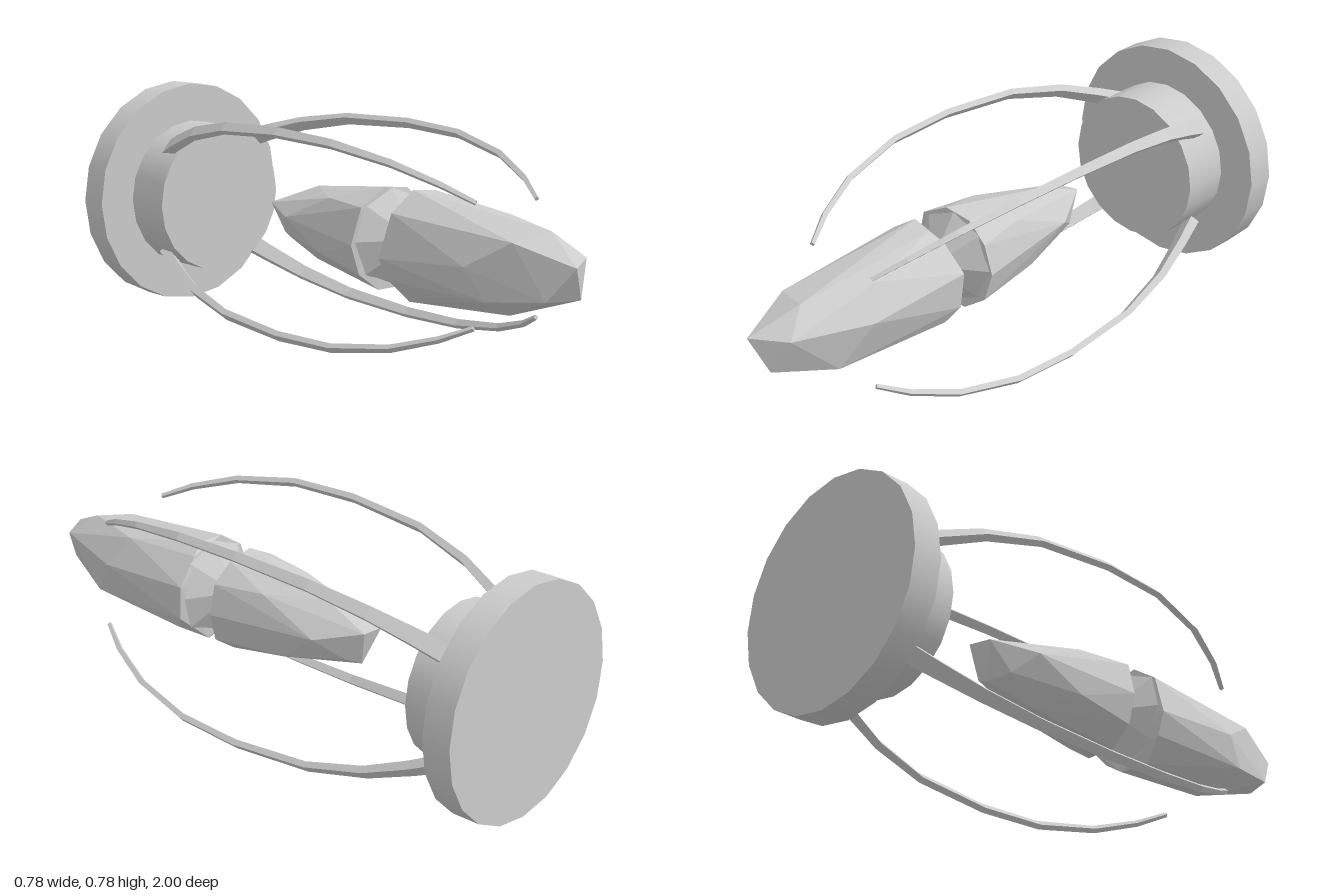
import * as THREE from 'three';
import { ConvexGeometry } from 'three/addons/geometries/ConvexGeometry.js';

const CY = 0.39; // height of the long axis

export function createModel() {
  const group = new THREE.Group();
  const smooth = new THREE.MeshStandardMaterial({ color: 0xcccccc });
  const flat = new THREE.MeshStandardMaterial({ color: 0xcccccc, flatShading: true });

  function add(name, geometry, material) {
    const mesh = new THREE.Mesh(geometry, material);
    mesh.name = name;
    group.add(mesh);
    return mesh;
  }

  // Round mounting: wide back plate and narrower hub
  function disc(name, radius, zBack, zFront) {
    const g = new THREE.CylinderGeometry(radius, radius, zFront - zBack, 20);
    g.rotateX(Math.PI / 2);
    g.translate(0, CY, (zBack + zFront) / 2);
    add(name, g, smooth);
  }
  disc('backPlate', 0.39, -1, -0.9);
  disc('hub', 0.257, -0.9, -0.73);

  // Faceted crystals
  function crystal(name, points) {
    add(name, new ConvexGeometry(points.map(p => new THREE.Vector3(...p))), flat);
  }
  crystal('frontCrystal', [
    [-0.04, 0.425, 1], [0.08, 0.43, 0.93], [0.02, 0.315, 0.965], [-0.085, 0.315, 0.92],
    [0.025, 0.503, 0.84], [-0.105, 0.48, 0.8], [-0.16, 0.39, 0.65], [-0.14, 0.29, 0.72],
    [-0.05, 0.238, 0.74], [0.1, 0.27, 0.76], [0.155, 0.41, 0.66], [0.1, 0.51, 0.6],
    [-0.035, 0.563, 0.3], [0.045, 0.555, 0.32], [0.095, 0.525, 0.3], [0.172, 0.44, 0.29],
    [0.165, 0.32, 0.3], [0.135, 0.27, 0.34], [0.03, 0.203, 0.3], [-0.07, 0.21, 0.32],
    [-0.14, 0.285, 0.3], [-0.175, 0.36, 0.29], [-0.13, 0.5, 0.3],
  ]);
  crystal('rearCrystal', [
    [-0.05, 0.43, -0.385], [0.04, 0.44, -0.39], [0.0, 0.31, -0.35], [0.06, 0.34, -0.33],
    [-0.06, 0.34, -0.3], [0.12, 0.4, -0.24], [-0.12, 0.41, -0.23], [0.02, 0.5, -0.22],
    [-0.03, 0.265, -0.17], [0.1, 0.29, -0.1], [-0.13, 0.32, -0.05], [0.11, 0.49, -0.02],
    [-0.1, 0.5, -0.03], [-0.03, 0.555, 0.165], [0.07, 0.54, 0.16], [0.14, 0.48, 0.165],
    [0.168, 0.38, 0.16], [0.14, 0.28, 0.165], [0.05, 0.218, 0.165], [-0.06, 0.22, 0.165],
    [-0.14, 0.28, 0.16], [-0.17, 0.38, 0.155], [-0.135, 0.5, 0.165],
  ]);

  // Pinched waist joining the crystals
  const waist = new THREE.LatheGeometry(
    [[0.16, 0.163], [0.05, 0.235], [0.165, 0.3]].map(p => new THREE.Vector2(...p)), 8);
  waist.rotateX(Math.PI / 2);
  waist.translate(0, CY, 0);
  add('crystalWaist', waist, new THREE.MeshStandardMaterial(
    { color: 0xcccccc, flatShading: true, side: THREE.DoubleSide }));

  // Curved claws: [z, outward bulge, width, thickness] from tip to root
  const sections = [
    [0.66, 0, 0.012, 0.012], [0.56, 0.33, 0.016, 0.016], [0.4, 0.69, 0.02, 0.018],
    [0.17, 0.95, 0.026, 0.019], [-0.08, 1, 0.03, 0.02], [-0.37, 0.89, 0.036, 0.021],
    [-0.58, 0.63, 0.043, 0.025], [-0.73, 0.32, 0.052, 0.03], [-0.83, 0.08, 0.06, 0.034],
  ];

  function clawGeometry(tip, apex, root) {
    const T = new THREE.Vector2(...tip), A = new THREE.Vector2(...apex), R = new THREE.Vector2(...root);
    const centres = sections.map(([z, bulge], i) => {
      const p = (i < 4 ? T : R).clone().lerp(A, bulge);
      return new THREE.Vector3(p.x, p.y + CY, z);
    });
    const u = new THREE.Vector3(A.x - T.x, A.y - T.y, 0).normalize();
    const rings = sections.map(([, , width, thick], i) => {
      const t = centres[Math.min(i + 1, centres.length - 1)].clone()
        .sub(centres[Math.max(i - 1, 0)]).normalize();
      const n = u.clone().multiplyScalar(-t.z);
      n.z = t.dot(u);
      n.normalize();
      const side = t.clone().cross(n).normalize();
      return [[1, 1], [-1, 1], [-1, -1], [1, -1]].map(([a, b]) => centres[i].clone()
        .addScaledVector(n, a * thick / 2).addScaledVector(side, b * width / 2));
    });
    const pos = [];
    const quad = (a, b, c, d) => [a, b, c, a, c, d].forEach(p => pos.push(p.x, p.y, p.z));
    for (let i = 0; i < rings.length - 1; i++) {
      for (let k = 0; k < 4; k++) {
        const m = (k + 1) % 4;
        quad(rings[i][k], rings[i][m], rings[i + 1][m], rings[i + 1][k]);
      }
    }
    quad(...rings[0].slice().reverse());
    quad(...rings[rings.length - 1]);
    const g = new THREE.BufferGeometry();
    g.setAttribute('position', new THREE.Float32BufferAttribute(pos, 3));
    g.computeVertexNormals();
    return g;
  }

  // Tip, apex and root of each claw, measured from the long axis
  const claws = {
    upperRightClaw: [[-0.118, 0.192], [-0.272, 0.335], [-0.14, 0.16]],
    upperLeftClaw: [[0.147, 0.172], [0.3, 0.31], [0.18, 0.165]],
    lowerRightClaw: [[-0.122, -0.195], [-0.277, -0.333], [-0.15, -0.182]],
    lowerLeftClaw: [[0.153, -0.205], [0.302, -0.348], [0.178, -0.175]],
  };
  for (const [name, points] of Object.entries(claws)) add(name, clawGeometry(...points), flat);

  return group;
}
